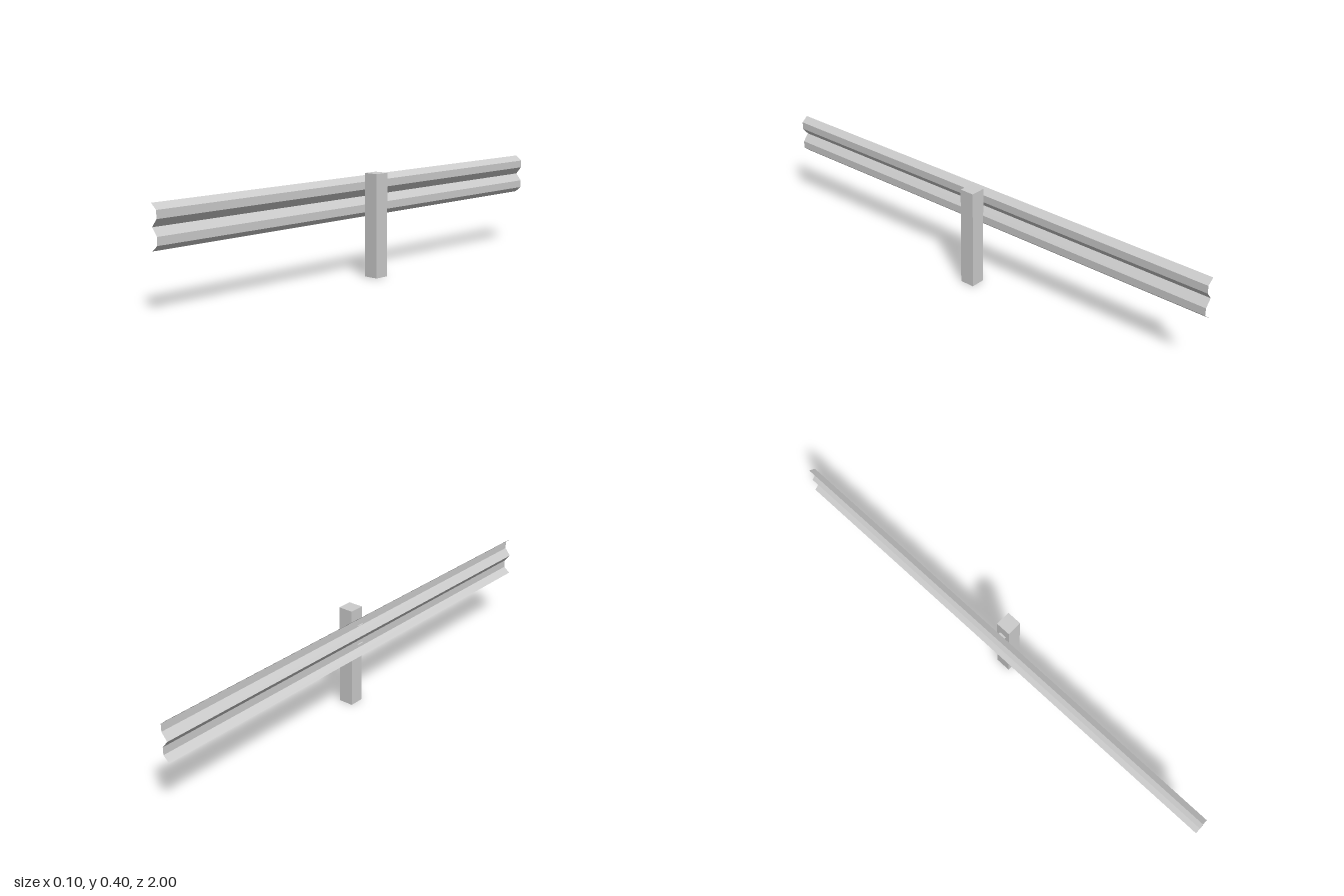
import * as THREE from 'three';

const material = new THREE.MeshStandardMaterial({
  color: 0xcccccc, flatShading: true, side: THREE.DoubleSide,
});

// Sweeps an open [x, y] profile along z as a thin sheet.
function sheet(profile, length) {
  const positions = [];
  const h = length / 2;
  for (let i = 0; i < profile.length - 1; i++) {
    const [x0, y0] = profile[i];
    const [x1, y1] = profile[i + 1];
    positions.push(x0, y0, h, x1, y1, h, x1, y1, -h);
    positions.push(x0, y0, h, x1, y1, -h, x0, y0, -h);
  }
  const geometry = new THREE.BufferGeometry();
  geometry.setAttribute('position', new THREE.Float32BufferAttribute(positions, 3));
  geometry.computeVertexNormals();
  return geometry;
}

export function createModel() {
  const model = new THREE.Group();
  const add = (name, geometry) => {
    const mesh = new THREE.Mesh(geometry, material);
    mesh.name = name;
    model.add(mesh);
    return mesh;
  };

  // Square post, open underneath
  const box = new THREE.BoxGeometry(0.06, 0.4, 0.06);
  const faces = Array.from(box.index.array);
  faces.splice(18, 6);
  box.setIndex(faces);
  box.clearGroups();
  add('post', box).position.set(0.02, 0.2, 0);

  // Double-ridged rail: half profile from rim to valley, mirrored about its middle
  const back = -0.05, ridge = -0.024, middle = 0.305;
  const half = [[back, 0.08], [ridge, 0.059], [ridge, 0.029]];
  const profile = [
    ...half.map(([x, y]) => [x, middle + y]),
    [back + 0.002, middle],
    ...half.slice().reverse().map(([x, y]) => [x, middle - y]),
  ];
  add('rail', sheet(profile, 2));

  // Thin bracket plates joining the post to both ridges
  for (const [name, y] of [['upperBracket', 0.34], ['lowerBracket', 0.262]]) {
    add(name, sheet([[-0.03, y], [-0.01, y]], 0.03));
  }

  return model;
}
